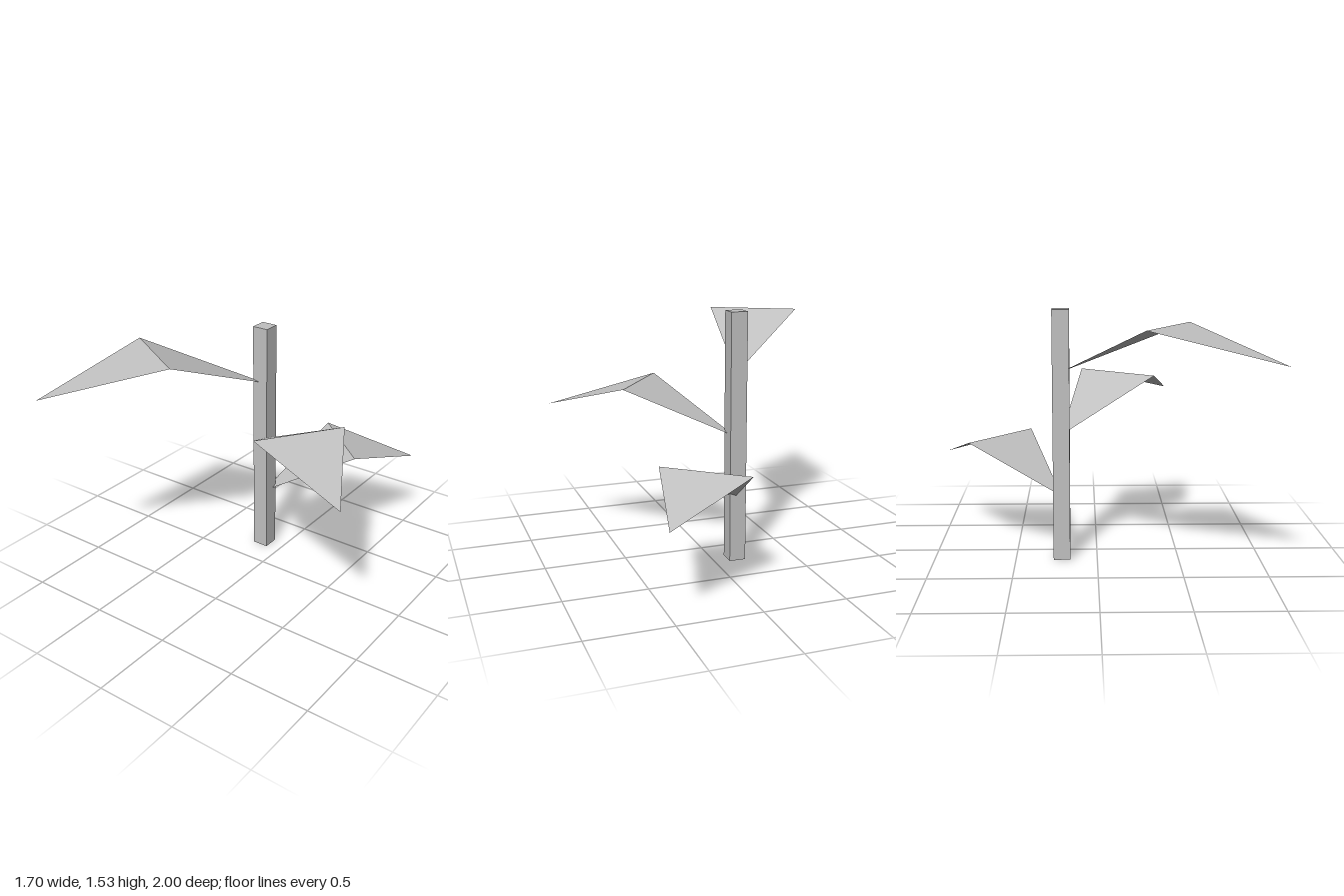
import * as THREE from 'three';

const grey = new THREE.MeshStandardMaterial({ color: 0xc0c0c0, side: THREE.DoubleSide, flatShading: true });
grey.name = 'light grey';

const STEM_X = -0.14, STEM_Z = -0.217, STEM_HEIGHT = 1.53;

// A folded diamond: rises from the stem to a level crease, then droops to its tip
function makeLeaf(name, height, length, angle) {
  const halfWidth = 0.28, creaseRise = 0.308, tipRise = 0.13;
  const corners = [
    0, 0, 0,
    halfWidth, creaseRise, length / 2,
    -halfWidth, creaseRise, length / 2,
    0, tipRise, length,
  ];
  const indexed = new THREE.BufferGeometry();
  indexed.setAttribute('position', new THREE.Float32BufferAttribute(corners, 3));
  indexed.setIndex([0, 2, 1, 1, 2, 3]);
  const geometry = indexed.toNonIndexed();
  geometry.computeVertexNormals();
  const leaf = new THREE.Mesh(geometry, grey);
  leaf.name = name;
  leaf.position.set(STEM_X, height, STEM_Z);
  leaf.rotation.y = angle;
  return leaf;
}

export function createModel() {
  const plant = new THREE.Group();
  plant.name = 'plant';

  // Square stem
  const stem = new THREE.Mesh(new THREE.BoxGeometry(0.102, STEM_HEIGHT, 0.102), grey);
  stem.name = 'stem';
  stem.position.set(STEM_X, STEM_HEIGHT / 2, STEM_Z);
  plant.add(stem);

  // Three leaves around the stem, longer towards the top; dx, dz run from stem to tip
  const leaves = [
    ['lowerLeaf', 0.391, 0.67, -0.783],
    ['middleLeaf', 0.774, 0.99, 0.707],
    ['upperLeaf', 1.157, -0.715, 1.213],
  ];
  for (const [name, height, dx, dz] of leaves) {
    plant.add(makeLeaf(name, height, Math.hypot(dx, dz), Math.atan2(dx, dz)));
  }
  return plant;
}
